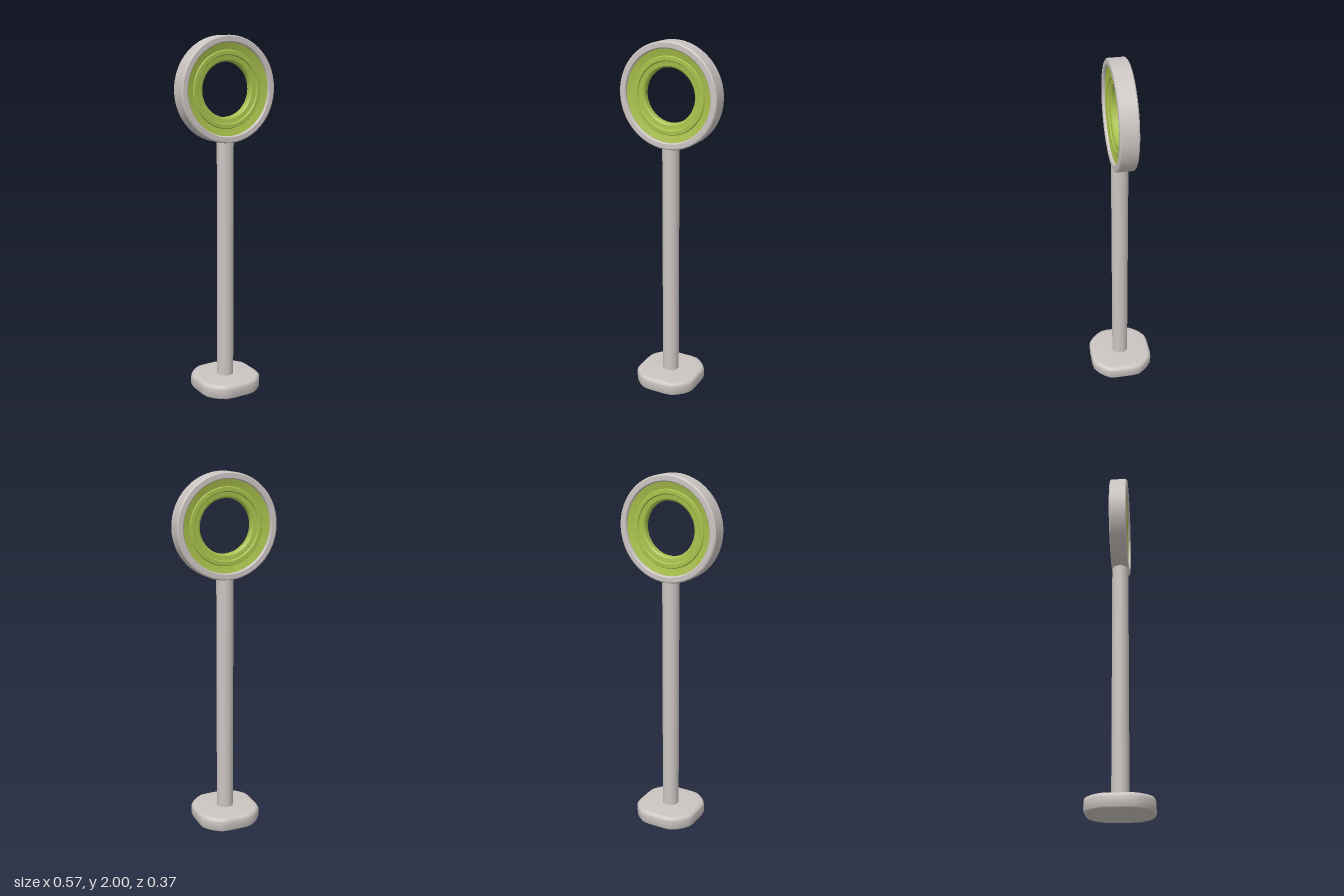
import * as THREE from 'three';
import { toCreasedNormals } from 'three/addons/utils/BufferGeometryUtils.js';

const RING_Y = 1.714;

// Revolves a (radius, depth) profile around the z axis
function ringGeometry(profile) {
  const points = profile.map(([r, z]) => new THREE.Vector2(r, z));
  const geometry = new THREE.LatheGeometry(points, 64);
  geometry.rotateX(Math.PI / 2);
  return toCreasedNormals(geometry, 0.6);
}

// Adds the mirrored back half to a front profile
function mirrored(front) {
  return [...front, ...front.map(([r, z]) => [r, -z]).reverse()];
}

export function createModel() {
  const grey = new THREE.MeshStandardMaterial({ color: 0xcbc5c2 });
  grey.name = 'warm grey';
  const green = new THREE.MeshStandardMaterial({ color: 0xa9c04c });
  green.name = 'lime green';

  const model = new THREE.Group();
  model.name = 'ringOnPost';
  const add = (name, geometry, material, y = 0) => {
    const mesh = new THREE.Mesh(geometry, material);
    mesh.name = name;
    mesh.position.y = y;
    model.add(mesh);
  };

  // Foot: a disc flattened on four sides, with rounded edges
  const bevel = 0.022;
  const outline = [];
  for (let i = 0; i < 32; i++) {
    const a = ((i + 0.5) / 32) * Math.PI * 2;
    const limit = 0.183 - bevel;
    const r = 0.199 - bevel;
    outline.push(new THREE.Vector2(
      THREE.MathUtils.clamp(r * Math.cos(a), -limit, limit),
      THREE.MathUtils.clamp(r * Math.sin(a), -limit, limit)
    ));
  }
  const foot = new THREE.ExtrudeGeometry(new THREE.Shape(outline), {
    depth: 0.083 - 2 * bevel, bevelEnabled: true,
    bevelSize: bevel, bevelThickness: bevel, bevelSegments: 4,
  });
  foot.rotateX(-Math.PI / 2);
  add('foot', toCreasedNormals(foot, 0.7), grey, bevel);

  // Post
  add('post', new THREE.CylinderGeometry(0.047, 0.047, 1.37, 16), grey, 0.755);

  // Outer rim with softened edges
  const rim = [
    [0.279, 0.049], [0.254, 0.049], [0.249, 0.044], [0.247, 0.02],
    [0.247, -0.02], [0.249, -0.044], [0.254, -0.049], [0.279, -0.049],
    [0.286, -0.043], [0.286, 0.043], [0.279, 0.049],
  ];
  add('rim', ringGeometry(rim), grey, RING_Y);

  // Stepped inner ring, the same on both sides
  const inset = mirrored([
    [0.25, 0.036], [0.24, 0.033], [0.21, 0.026], [0.206, 0.032],
    [0.186, 0.032], [0.181, 0.025], [0.157, 0.022], [0.148, 0.014],
  ]);
  add('inset', ringGeometry(inset), green, RING_Y);

  return model;
}
